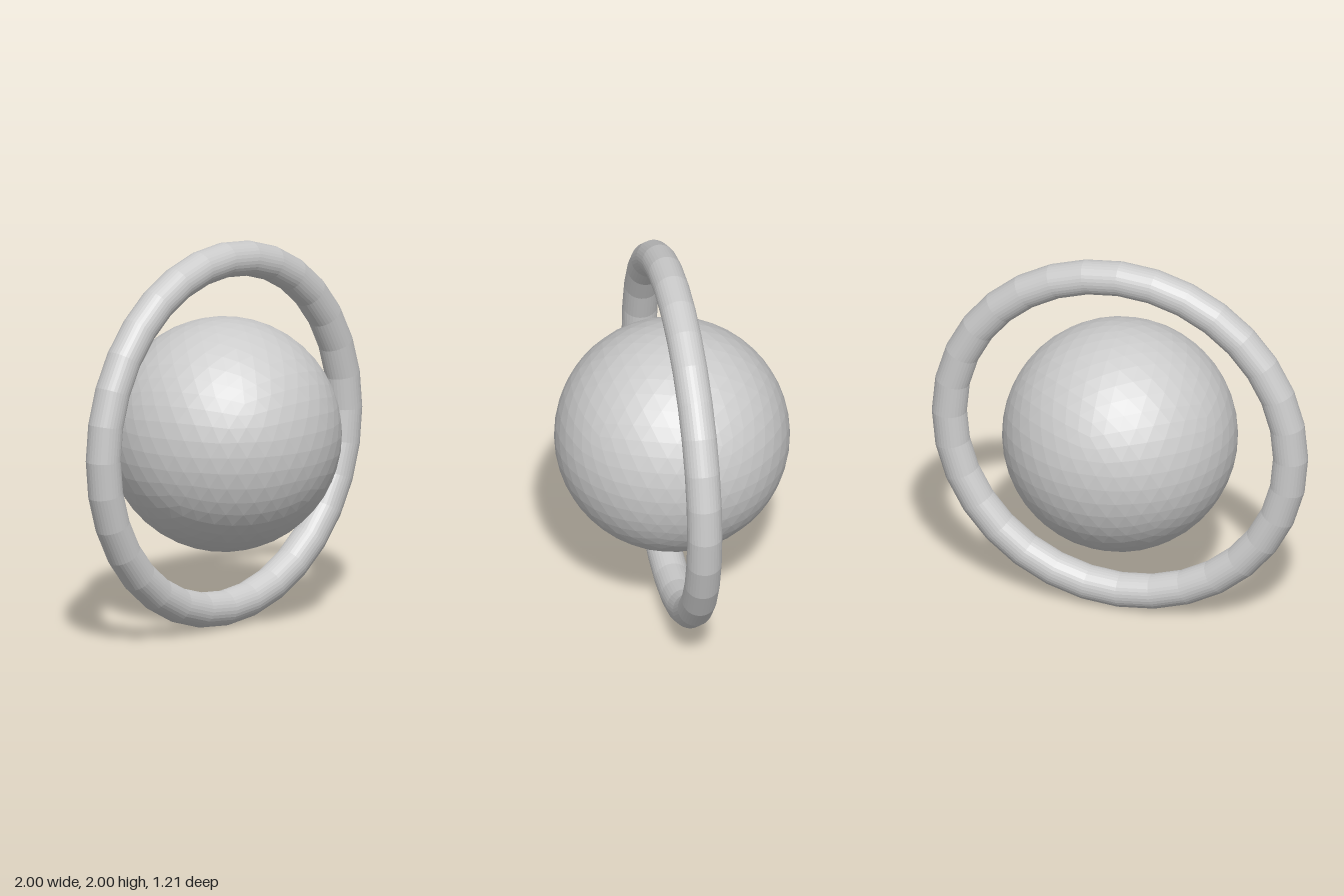
import * as THREE from 'three';

const material = new THREE.MeshStandardMaterial({ color: 0xcccccc, flatShading: true });

function addPart(group, name, geometry) {
  const mesh = new THREE.Mesh(geometry, material);
  mesh.name = name;
  mesh.position.y = 1;
  group.add(mesh);
}

export function createModel() {
  const group = new THREE.Group();
  group.name = 'ringedSphere';

  // Faceted sphere, turned so that a corner of the icosahedron points straight up
  const sphere = new THREE.IcosahedronGeometry(0.604, 7);
  sphere.rotateX(-Math.atan((1 + Math.sqrt(5)) / 2));
  sphere.rotateY(Math.PI);
  addPart(group, 'sphere', sphere);

  // Upright ring around the sphere
  addPart(group, 'ring', new THREE.TorusGeometry(0.91, 0.09, 32, 32));

  return group;
}
